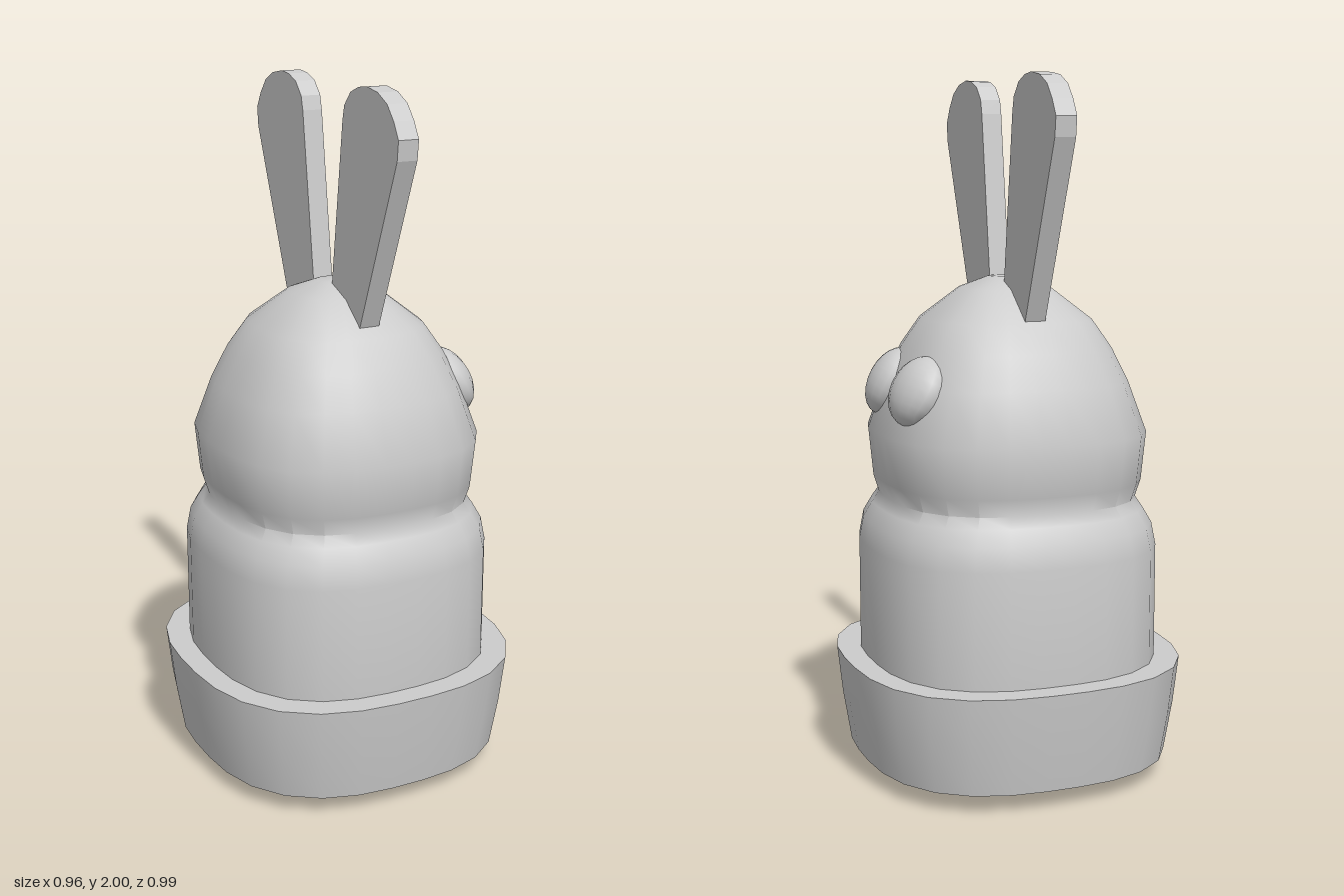
import * as THREE from 'three';
import { toCreasedNormals } from 'three/addons/utils/BufferGeometryUtils.js';

const SEGMENTS = 28;
const POWER = 2.65;   // roundness of the squarish plan
const DEPTH = 1.03;   // plan is slightly deeper than wide

export function createModel() {
  const model = new THREE.Group();
  const material = new THREE.MeshStandardMaterial({ color: 0xcccccc });

  function add(name, geometry) {
    const mesh = new THREE.Mesh(geometry, material);
    mesh.name = name;
    model.add(mesh);
    return mesh;
  }

  // Lathe whose round plan is pushed out to a rounded square
  function squareLathe(profile) {
    const points = profile.map(([r, y]) => new THREE.Vector2(r, y));
    const geometry = new THREE.LatheGeometry(points, SEGMENTS, Math.PI / SEGMENTS);
    const pos = geometry.attributes.position;
    for (let i = 0; i < pos.count; i++) {
      const x = pos.getX(i), z = pos.getZ(i);
      const r = Math.hypot(x, z);
      if (r < 1e-6) continue;
      const k = Math.pow(Math.abs(x / r) ** POWER + Math.abs(z / r) ** POWER, -1 / POWER);
      pos.setX(i, x * k);
      pos.setZ(i, z * k * DEPTH);
    }
    return toCreasedNormals(geometry, 0.95);
  }

  // Body and head in one skin, with a bulged underside and a pinched neck
  add('bodyAndHead', squareLathe([
    [0, 0], [0.1, 0.004], [0.25, 0.022], [0.4, 0.058], [0.412, 0.34],
    [0.412, 0.67], [0.4, 0.735], [0.375, 0.78], [0.355, 0.81], [0.37, 0.86],
    [0.383, 1.0], [0.333, 1.145], [0.288, 1.24], [0.235, 1.32],
    [0.125, 1.408], [0.045, 1.44], [0, 1.443],
  ]));

  // Flared base band
  add('baseBand', squareLathe([
    [0.38, 0.055], [0.442, 0.055], [0.465, 0.2], [0.48, 0.34], [0.4, 0.34],
  ]));

  // Flat paddle ears, mirrored front to back
  const earOutline = [
    [0.04, 1.3], [0.056, 1.42], [0.12, 1.9], [0.13, 1.94], [0.165, 1.978],
    [0.21, 1.995], [0.255, 2.0], [0.315, 1.99], [0.365, 1.965], [0.4, 1.925],
    [0.426, 1.88], [0.42, 1.825], [0.218, 1.33], [0.19, 1.26],
  ];
  for (const side of [1, -1]) {
    const shape = new THREE.Shape(earOutline.map(([z, y]) => new THREE.Vector2(side * z - 0.015, y)));
    const geometry = new THREE.ExtrudeGeometry(shape, { depth: 0.06, bevelEnabled: false });
    geometry.translate(0, 0, -0.03).rotateY(-Math.PI / 2);
    add(side > 0 ? 'frontEar' : 'backEar', geometry);
  }

  // Flattened eyes lying on the slope of the face
  for (const side of [1, -1]) {
    const eye = add(side > 0 ? 'frontEye' : 'backEye', new THREE.SphereGeometry(1, 16, 12));
    eye.scale.set(0.066, 0.104, 0.105);
    eye.rotation.set(0, -side * 0.2, 0.5, 'YZX');
    eye.position.set(0.308, 1.135, side * 0.125 - 0.006);
  }

  return model;
}
